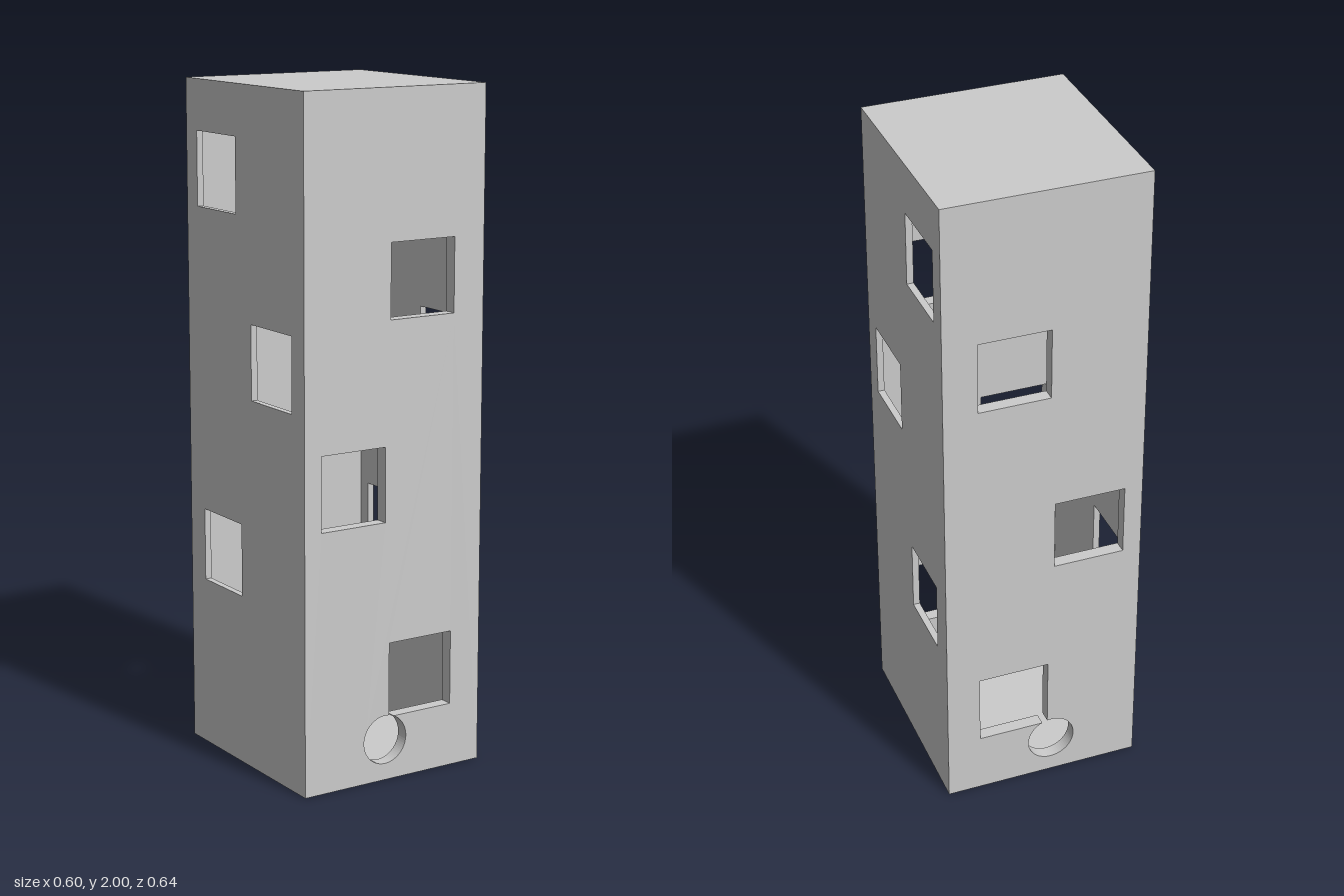
import * as THREE from 'three';

const W = 0.604, D = 0.64, H = 2; // outer size
const WALL = 0.04, SIDE = 0.02, SLAB = 0.01; // panel thicknesses

function rectPath(x0, x1, y0, y1, Type = THREE.Path) {
  return new Type([[x0, y0], [x1, y0], [x1, y1], [x0, y1]].map(p => new THREE.Vector2(...p)));
}

// Bottom window joined to the round hole that clips its lower corner
function keyholePath() {
  const cx = -0.029, cy = 0.123, r = 0.073, x0 = -0.016, x1 = 0.2, y0 = 0.19, y1 = 0.413;
  const a0 = Math.acos((x0 - cx) / r), a1 = Math.asin((y0 - cy) / r);
  const path = new THREE.Path();
  path.moveTo(cx + r * Math.cos(a1), y0);
  path.lineTo(x1, y0);
  path.lineTo(x1, y1);
  path.lineTo(x0, y1);
  path.lineTo(x0, cy + r * Math.sin(a0));
  path.absarc(cx, cy, r, a0, a1 + Math.PI * 2, false);
  return path;
}

// Upright panel with holes, centred on its thickness
function panel(width, depth, holes) {
  const shape = rectPath(-width / 2, width / 2, 0, H, THREE.Shape);
  shape.holes.push(...holes);
  return new THREE.ExtrudeGeometry(shape, { depth, bevelEnabled: false, curveSegments: 32 })
    .translate(0, 0, -depth / 2);
}

export function createModel() {
  const group = new THREE.Group();
  const material = new THREE.MeshStandardMaterial({ color: 0xcccccc });
  const add = (name, geometry, x, y, z) => {
    const mesh = new THREE.Mesh(geometry, material);
    mesh.name = name;
    mesh.position.set(x, y, z);
    group.add(mesh);
  };

  // Front and back walls: two square windows and the keyhole opening
  const wall = panel(W, WALL, [
    rectPath(-0.016, 0.2, 1.355, 1.573),
    rectPath(-0.247, -0.032, 0.773, 0.993),
    keyholePath(),
  ]);
  add('frontWall', wall, 0, 0, (D - WALL) / 2);
  add('backWall', wall, 0, 0, -(D - WALL) / 2);

  // Side walls: three staggered windows
  const side = panel(D - 2 * WALL, SIDE, [
    rectPath(-0.26, -0.043, 1.632, 1.851),
    rectPath(0.037, 0.254, 1.107, 1.327),
    rectPath(-0.239, -0.025, 0.513, 0.73),
  ]).rotateY(-Math.PI / 2);
  add('leftWall', side, (W - SIDE) / 2, 0, 0);
  add('rightWall', side, -(W - SIDE) / 2, 0, 0);

  // Floor and roof close the hollow shaft
  const slab = new THREE.BoxGeometry(W - 2 * SIDE, SLAB, D - 2 * WALL);
  add('floor', slab, 0, SLAB / 2, 0);
  add('roof', slab, 0, H - SLAB / 2, 0);

  return group;
}
